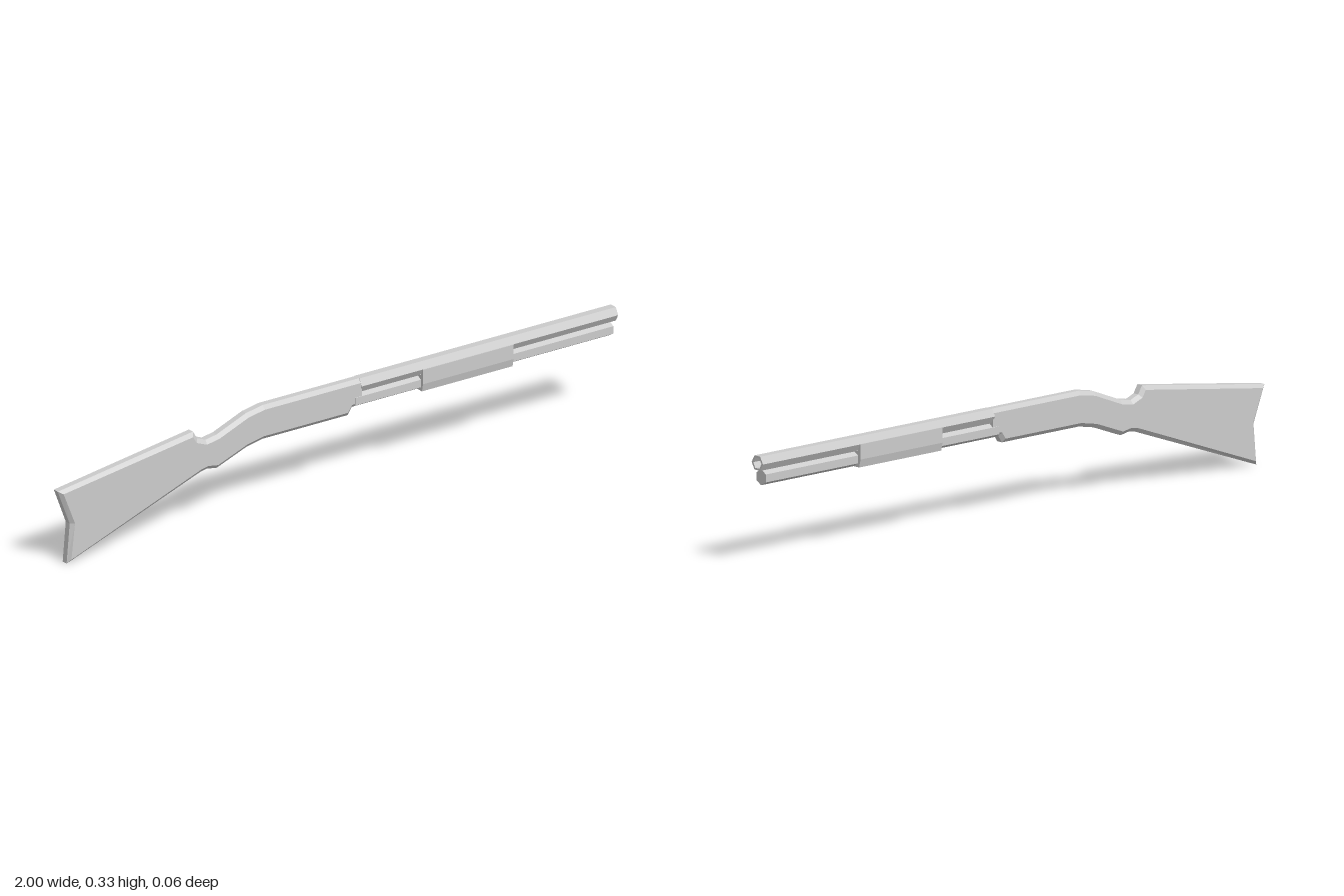
import * as THREE from 'three';

const material = new THREE.MeshStandardMaterial({ color: 0xcccccc, flatShading: true });

function addMesh(group, name, geometry) {
  const mesh = new THREE.Mesh(geometry, material);
  mesh.name = name;
  group.add(mesh);
  return mesh;
}

const toShape = (points) => new THREE.Shape(points.map(([x, y]) => new THREE.Vector2(x, y)));

// Six-sided rod along x, turned from a [radius, x] profile
function hexRod(profile, turn = 0) {
  const points = profile.map(([r, x]) => new THREE.Vector2(r, x));
  return new THREE.LatheGeometry(points, 6).rotateY(turn).rotateZ(-Math.PI / 2);
}

// Stock and receiver: one chamfered side outline, square at the front end
function stockGeometry() {
  const outline = toShape([
    [-0.968, 0], [-0.49, 0.174], [-0.465, 0.179], [-0.43, 0.173],
    [-0.325, 0.213], [-0.265, 0.225], [0.04, 0.225], [0.055, 0.247],
    [0.085, 0.254], [0.085, 0.333], [-0.265, 0.333], [-0.325, 0.322],
    [-0.43, 0.28], [-0.47, 0.273], [-0.5, 0.285], [-0.515, 0.31],
    [-1, 0.238], [-0.957, 0.125],
  ]);
  const geometry = new THREE.ExtrudeGeometry(outline, {
    depth: 0.02, bevelEnabled: true, bevelSegments: 1,
    bevelThickness: 0.01, bevelSize: 0.012, bevelOffset: -0.012,
  }).translate(0, 0, -0.01);
  const position = geometry.attributes.position;
  for (let i = 0; i < position.count; i++) {
    if (position.getX(i) > 0.065) position.setX(i, 0.085);
  }
  geometry.computeVertexNormals();
  return geometry;
}

// Sliding grip: U-shaped section wrapped around both tubes
function gripGeometry() {
  const half = [[0.026, 0.243], [0.032, 0.268], [0.032, 0.314], [0.029, 0.314], [0.021, 0.293]];
  const mirrored = half.map(([z, y]) => [-z, y]).reverse();
  return new THREE.ExtrudeGeometry(toShape([...half, ...mirrored]), {
    depth: 0.325, bevelEnabled: false,
  }).rotateY(Math.PI / 2).translate(0.295, 0, 0);
}

export function createModel() {
  const model = new THREE.Group();
  model.name = 'shotgun';

  addMesh(model, 'stockAndReceiver', stockGeometry());

  // Barrel with a hollow muzzle
  const barrel = addMesh(model, 'barrel', hexRod([
    [0, 0.08], [0.0248, 0.08], [0.0248, 1], [0.018, 1], [0.018, 0.9], [0, 0.9],
  ]));
  barrel.position.y = 0.3115;

  // Magazine tube below the barrel
  const magazine = addMesh(model, 'magazineTube', hexRod([
    [0, 0.06], [0.024, 0.06], [0.024, 0.985], [0, 0.985],
  ], Math.PI / 6));
  magazine.position.y = 0.2665;

  addMesh(model, 'slidingGrip', gripGeometry());
  return model;
}
